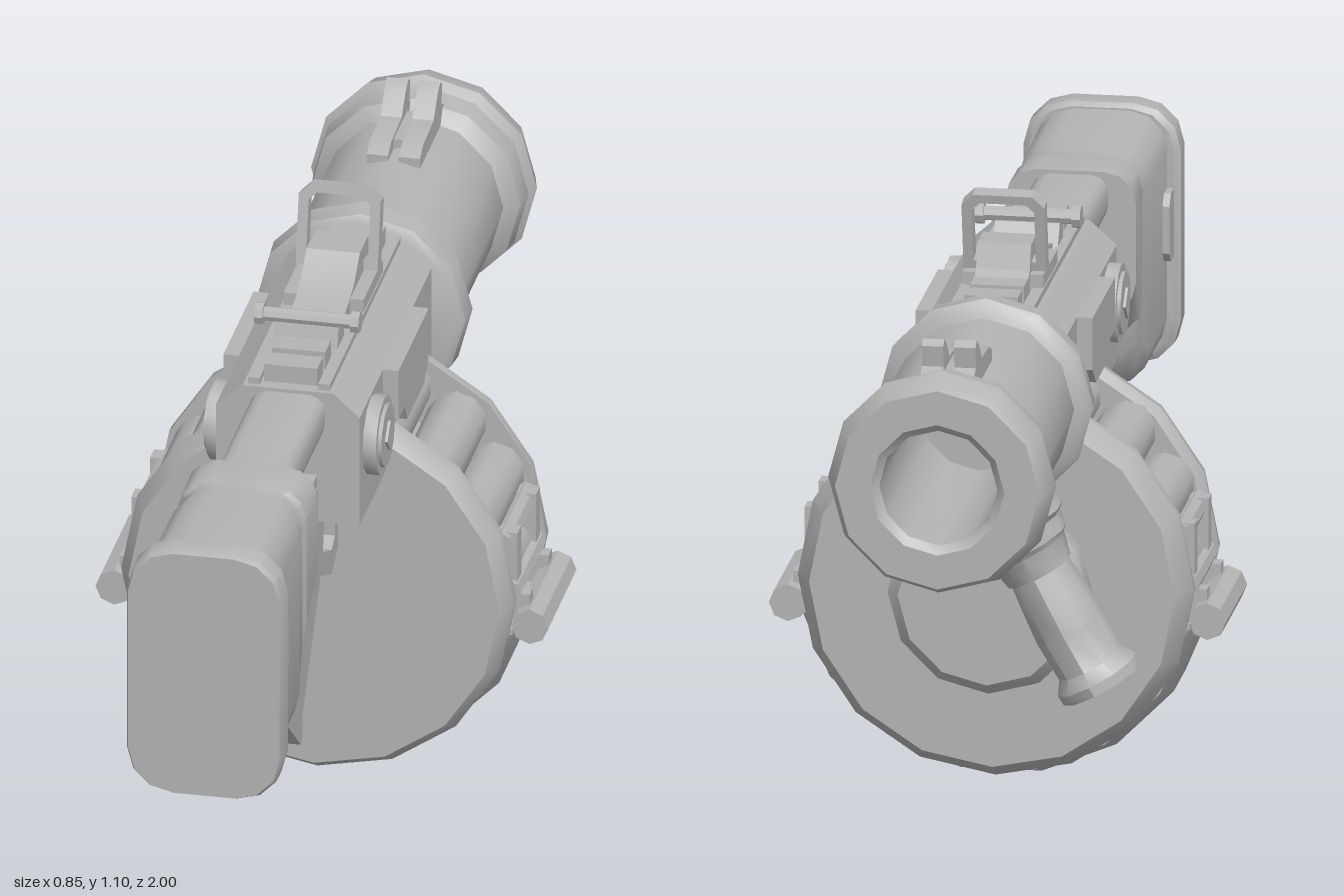
import * as THREE from 'three';
import { toCreasedNormals } from 'three/addons/utils/BufferGeometryUtils.js';

const grey = new THREE.MeshStandardMaterial({ color: 0xb4b4b4 });
grey.name = 'grey metal';

export function createModel() {
  const root = new THREE.Group();
  root.name = 'launcher';

  const add = (name, geo, x = 0, y = 0, z = 0, parent = root) => {
    const m = new THREE.Mesh(toCreasedNormals(geo, 0.65), grey);
    m.name = name;
    m.position.set(x, y, z);
    parent.add(m);
    return m;
  };
  const box = (name, w, h, d, x, y, z) => add(name, new THREE.BoxGeometry(w, h, d), x, y, z);
  // Lathe about z: [radius, z] pairs, first point towards -z
  const turn = (pts, sides, start = 0, sweep = Math.PI * 2) =>
    new THREE.LatheGeometry(pts.map(p => new THREE.Vector2(...p)), sides, start, sweep).rotateX(Math.PI / 2);
  // Side profile of [z, y] pairs, extruded across x
  const side = (pts, width, hole) => {
    const vec = a => a.map(([z, y]) => new THREE.Vector2(-z, y));
    const s = new THREE.Shape(vec(pts));
    if (hole) s.holes.push(new THREE.Path(vec(hole)));
    return new THREE.ExtrudeGeometry(s, { depth: width, bevelEnabled: false })
      .translate(0, 0, -width / 2).rotateY(Math.PI / 2);
  };
  const rodZ = (r, len, sides) => new THREE.CylinderGeometry(r, r, len, sides).rotateX(Math.PI / 2);
  const rodX = (r, len, sides) => new THREE.CylinderGeometry(r, r, len, sides).rotateZ(Math.PI / 2);

  // Loft of rounded rectangles: [z, halfWidth, bottom, top, corner], z descending
  const loft = rows => {
    const pos = [], idx = [], n = 16;
    rows.forEach(([z, w, b, t, c]) => {
      for (let i = 0; i < n; i++) {
        const q = Math.floor(i / 4), a = (q + (i % 4) / 3) * Math.PI / 2;
        const cx = q === 0 || q === 3 ? w - c : c - w;
        const cy = q < 2 ? t - c : b + c;
        pos.push(cx + c * Math.cos(a), cy + c * Math.sin(a), z);
      }
    });
    for (let r = 0; r < rows.length - 1; r++) {
      for (let i = 0; i < n; i++) {
        const a = r * n + i, b = r * n + (i + 1) % n;
        idx.push(a, a + n, b, b, a + n, b + n);
      }
    }
    const last = (rows.length - 1) * n;
    for (let i = 1; i < n - 1; i++) idx.push(0, i, i + 1, last, last + i + 1, last + i);
    const g = new THREE.BufferGeometry();
    g.setAttribute('position', new THREE.Float32BufferAttribute(pos, 3));
    g.setIndex(idx);
    return g;
  };

  // Barrel with stepped rings and an open bore
  add('barrel', turn([[0, -0.5], [0.11, -0.5], [0.11, -0.985], [0.125, -1], [0.19, -1], [0.2, -0.985],
    [0.212, -0.94], [0.186, -0.925], [0.202, -0.915], [0.196, -0.87], [0.168, -0.85], [0.168, -0.45],
    [0.19, -0.44], [0.2, -0.43], [0.196, -0.385], [0.18, -0.375], [0, -0.375]], 12), 0, 0.765);

  // Paired sight blades on the barrel
  for (const s of [-1, 1]) {
    add('barrelSight', side([[-0.67, 0.9], [-0.67, 0.94], [-0.7, 0.955], [-0.79, 0.96], [-0.83, 1.0],
      [-0.85, 1.01], [-0.865, 1.0], [-0.86, 0.96], [-0.88, 0.95], [-0.88, 0.9]], 0.04), s * 0.03);
  }
  box('barrelSightBase', 0.05, 0.06, 0.12, 0, 0.92, -0.78);

  // Foregrip, leaning out to the right of the model
  const grip = new THREE.Group();
  grip.name = 'foregrip';
  grip.position.set(0, 0.765, -0.655);
  grip.rotation.z = -0.5;
  root.add(grip);
  const down = pts => new THREE.LatheGeometry(pts.map(([r, d]) => new THREE.Vector2(r, -d)), 10);
  add('foregripMount', down([[0, 0.285], [0.065, 0.285], [0.075, 0.24], [0.085, 0.23], [0.088, 0.2],
    [0.1, 0.19], [0.1, 0.13], [0, 0.13]]), 0, 0, 0, grip);
  add('foregripHandle', down([[0, 0.525], [0.088, 0.525], [0.09, 0.505], [0.072, 0.48], [0.076, 0.4],
    [0.07, 0.33], [0.062, 0.26], [0, 0.26]]).scale(0.9, 1, 1), 0, 0, 0, grip);

  // Receiver with bevelled shoulders
  const body = new THREE.Shape([[-0.135, 0.65], [0.135, 0.65], [0.135, 0.87], [0.085, 0.915],
    [-0.085, 0.915], [-0.135, 0.87]].map(p => new THREE.Vector2(...p)));
  add('receiver', new THREE.ExtrudeGeometry(body, { depth: 0.64, bevelEnabled: false }), 0, 0, -0.38);
  for (const s of [-1, 1]) {
    add('sidePlate', side([[0.055, 0.87], [0.055, 0.77], [0.0, 0.77], [-0.02, 0.735], [-0.17, 0.735],
      [-0.21, 0.77], [-0.21, 0.87]], 0.035), s * 0.147);
    add('sideKnob', rodX(0.075, 0.03, 12), s * 0.145, 0.79, 0.16);
    add('sideKnobRim', rodX(0.06, 0.01, 12), s * 0.162, 0.79, 0.16);
    add('sideKnobStud', new THREE.BoxGeometry(0.012, 0.042, 0.042).rotateX(Math.PI / 4), s * 0.166, 0.79, 0.16);
    box('topRail', 0.022, 0.025, 0.62, s * 0.066, 0.915, -0.06);
  }

  // Ribs along the top
  for (const z of [0.21, 0.14, -0.27, -0.34]) box('topRib', 0.1, 0.04, 0.05, 0, 0.93, z);

  // Rear crossbar and its bracket
  add('crossbarBracket', side([[0.11, 0.91], [0.095, 0.965], [0.065, 0.965], [0.03, 0.91]], 0.12));
  add('crossbar', rodX(0.014, 0.18, 8), 0, 0.975, 0.08);
  for (const s of [-1, 1]) add('crossbarKnob', rodX(0.021, 0.016, 8), s * 0.09, 0.975, 0.08);

  // Sight base and tilted open frame
  add('sightBase', side([[0.05, 0.91], [0.04, 0.935], [-0.04, 0.95], [-0.09, 0.965], [-0.14, 1.005],
    [-0.21, 1.005], [-0.225, 0.96], [-0.25, 0.945], [-0.25, 0.91]], 0.1));
  box('sightFoot', 0.15, 0.045, 0.17, 0, 0.93, -0.14);
  const outline = (w, top, c) => [[-w, 0], [w, 0], [w, top - c], [w - c, top], [c - w, top], [-w, top - c]]
    .map(p => new THREE.Vector2(...p));
  const frame = new THREE.Shape(outline(0.077, 0.155, 0.022));
  frame.holes.push(new THREE.Path(outline(0.058, 0.138, 0.015).map(v => v.setY(Math.max(v.y, 0.02)))));
  add('sightFrame', new THREE.ExtrudeGeometry(frame, { depth: 0.03, bevelEnabled: false }), 0, 0.95, -0.2)
    .rotation.x = -0.2;

  // Drum end plates, core and hub
  const cy = 0.385;
  add('drumRearPlate', turn([[0, -0.04], [0.355, -0.04], [0.37, -0.02], [0.368, 0], [0.348, 0.03], [0, 0.03]], 16), 0, cy);
  add('drumFrontPlate', turn([[0, -0.355], [0.34, -0.355], [0.368, -0.31], [0.368, -0.29], [0, -0.29]], 16), 0, cy);
  add('drumCore', turn([[0.25, -0.3], [0.25, -0.03]], 16), 0, cy);
  add('drumHub', turn([[0, -0.42], [0.165, -0.42], [0.188, -0.395], [0.188, -0.34], [0, -0.34]], 12), 0, cy);
  // Lower shell closes the bottom of the drum
  const arc = Math.PI * 0.875;
  add('drumShell', turn([[0.25, -0.3], [0.365, -0.3], [0.385, -0.24], [0.385, -0.1], [0.365, -0.03], [0.25, -0.03]],
    7, -arc / 2, arc), 0, cy);
  for (const s of [-1, 1]) {
    box('shellEdge', 0.12, 0.012, 0.27, s * 0.3, cy - 0.072, -0.165);
  }

  // Rounds around the upper half, with clips and outer handles
  for (const deg of [2, 25, 48, 71]) {
    const a = deg * Math.PI / 180;
    for (const s of [-1, 1]) {
      add('round', rodZ(0.056, 0.26, 10), s * 0.3 * Math.cos(a), cy + 0.3 * Math.sin(a), -0.165);
    }
  }
  for (const s of [-1, 1]) {
    add('sideHandle', rodZ(0.035, 0.25, 8), s * 0.39, 0.322, -0.165);
    add('clipRod', rodZ(0.022, 0.22, 8), s * 0.335, 0.48, -0.16);
    add('clipRod', rodZ(0.022, 0.22, 8), s * 0.35, 0.385, -0.16);
    for (const z of [-0.08, -0.245]) {
      box('clipBracket', 0.075, 0.13, 0.035, s * 0.325, 0.435, z);
      box('handleArm', 0.05, 0.06, 0.03, s * 0.36, 0.345, z);
    }
  }

  // Pistol grip
  add('pistolGrip', side([[0.33, 0.72], [0.315, 0.65], [0.34, 0.62], [0.42, 0.565], [0.585, 0.405],
    [0.41, 0.265], [0.395, 0.28], [0.4, 0.315], [0.22, 0.55], [0.2, 0.67], [0.2, 0.72]], 0.114));

  // Trigger guard and trigger
  add('triggerGuard', side([[0.26, 0.67], [0.25, 0.53], [0.085, 0.455], [0.03, 0.485], [0.03, 0.67]], 0.09,
    [[0.215, 0.645], [0.205, 0.555], [0.085, 0.505], [0.055, 0.52], [0.06, 0.645]]));
  add('triggerRod', rodZ(0.012, 0.08, 8), 0, 0.605, 0.19);
  add('triggerPad', rodZ(0.03, 0.015, 8), 0, 0.605, 0.155);

  // Struts joining the receiver to the stock
  add('lowerStrut', side([[0.6, 0.69], [0.56, 0.705], [0.5, 0.735], [0.42, 0.745], [0.22, 0.745], [0.22, 0.695],
    [0.42, 0.695], [0.49, 0.68], [0.55, 0.65], [0.6, 0.61]], 0.11));
  add('upperStrut', loft([[0.6, 0.07, 0.82, 0.908, 0.03], [0.22, 0.07, 0.82, 0.908, 0.03]]));

  // Stock, rounded under the chin, and the butt plate
  add('stock', loft([[0.95, 0.122, 0.46, 0.925, 0.07], [0.73, 0.122, 0.46, 0.918, 0.07],
    [0.69, 0.115, 0.485, 0.917, 0.07], [0.67, 0.115, 0.53, 0.917, 0.07], [0.66, 0.12, 0.58, 0.917, 0.06],
    [0.57, 0.122, 0.645, 0.915, 0.06]]));
  add('buttPlate', loft([[1, 0.142, 0.442, 0.932, 0.085], [0.99, 0.146, 0.438, 0.936, 0.085],
    [0.945, 0.146, 0.438, 0.936, 0.085], [0.935, 0.135, 0.45, 0.928, 0.08]]));
  add('buttTongue', side([[0.95, 0.78], [0.9, 0.78], [0.88, 0.76], [0.88, 0.67], [0.9, 0.65], [0.95, 0.65]], 0.27));

  return root;
}
